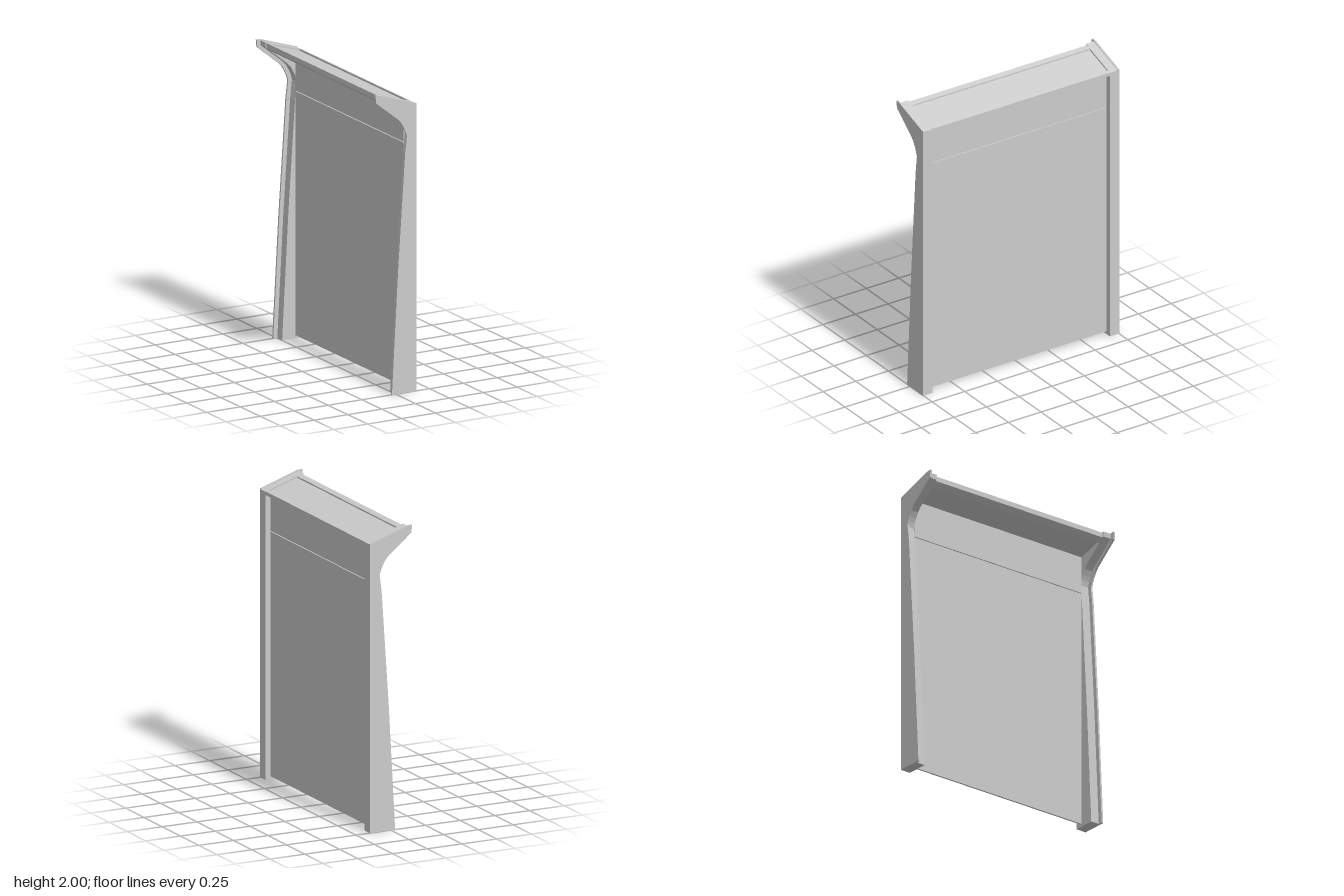
import * as THREE from 'three';

const grey = new THREE.MeshStandardMaterial({ color: 0xcccccc, flatShading: true });

// Extrude an (x, y) outline from z0 to z1
function slab(name, points, z0, z1) {
  const shape = new THREE.Shape(points.map(([x, y]) => new THREE.Vector2(x, y)));
  const geometry = new THREE.ExtrudeGeometry(shape, { depth: z1 - z0, bevelEnabled: false });
  geometry.translate(0, 0, z0);
  const mesh = new THREE.Mesh(geometry, grey);
  mesh.name = name;
  return mesh;
}

const rect = (x0, x1, y0, y1) => [[x0, y0], [x1, y0], [x1, y1], [x0, y1]];

export function createModel() {
  const model = new THREE.Group();
  model.name = 'shelterFrame';
  const inner = 0.68, seam = 0.741, outer = 0.754;

  // Thin outer cheek with tapered leg and swept canopy bracket
  const cheek = [
    [0.15, 0], [0.15, 1.91], [-0.12, 1.998], [-0.152, 2], [-0.147, 1.95],
    [0.02, 1.815], [0.04, 1.79], [0.058, 1.76], [0.071, 1.73], [0.081, 1.7],
    [0.067, 1.58], [0.015, 0.81], [-0.03, 0],
  ];
  // Thicker post set back behind the cheek's front edge
  const post = [
    [0.15, 0], [0.15, 1.906], [-0.125, 1.994], [-0.122, 1.96],
    [0.042, 1.828], [0.066, 1.8], [0.086, 1.765], [0.099, 1.735], [0.108, 1.7],
    [0.095, 1.58], [0.044, 0.81], [0, 0],
  ];
  for (const side of [1, -1]) {
    const group = new THREE.Group();
    group.name = side > 0 ? 'leftPost' : 'rightPost';
    const z = (a, b) => (side > 0 ? [a, b] : [-b, -a]);
    group.add(slab('cheekPlate', cheek, ...z(seam, outer)));
    group.add(slab('postBody', post, ...z(inner, seam)));
    model.add(group);
  }

  // Back wall in two sheets with a narrow joint between them
  model.add(slab('lowerWall', rect(0.1, 0.112, 0.02, 1.637), -inner, inner));
  model.add(slab('upperWall', rect(0.1, 0.112, 1.642, 1.893), -inner, inner));

  // Roof: rear rail, sloping recessed sheet and front fascia
  model.add(slab('rearRail',
    [[0.13, 1.885], [0.15, 1.885], [0.15, 1.908], [0.13, 1.914]], -inner, inner));
  model.add(slab('roofSheet',
    [[-0.08, 1.945], [0.13, 1.885], [0.13, 1.902], [-0.08, 1.968]], -inner, inner));
  model.add(slab('frontFascia',
    [[-0.115, 1.955], [-0.08, 1.928], [-0.08, 1.977], [-0.115, 1.988]], -inner, inner));

  return model;
}
